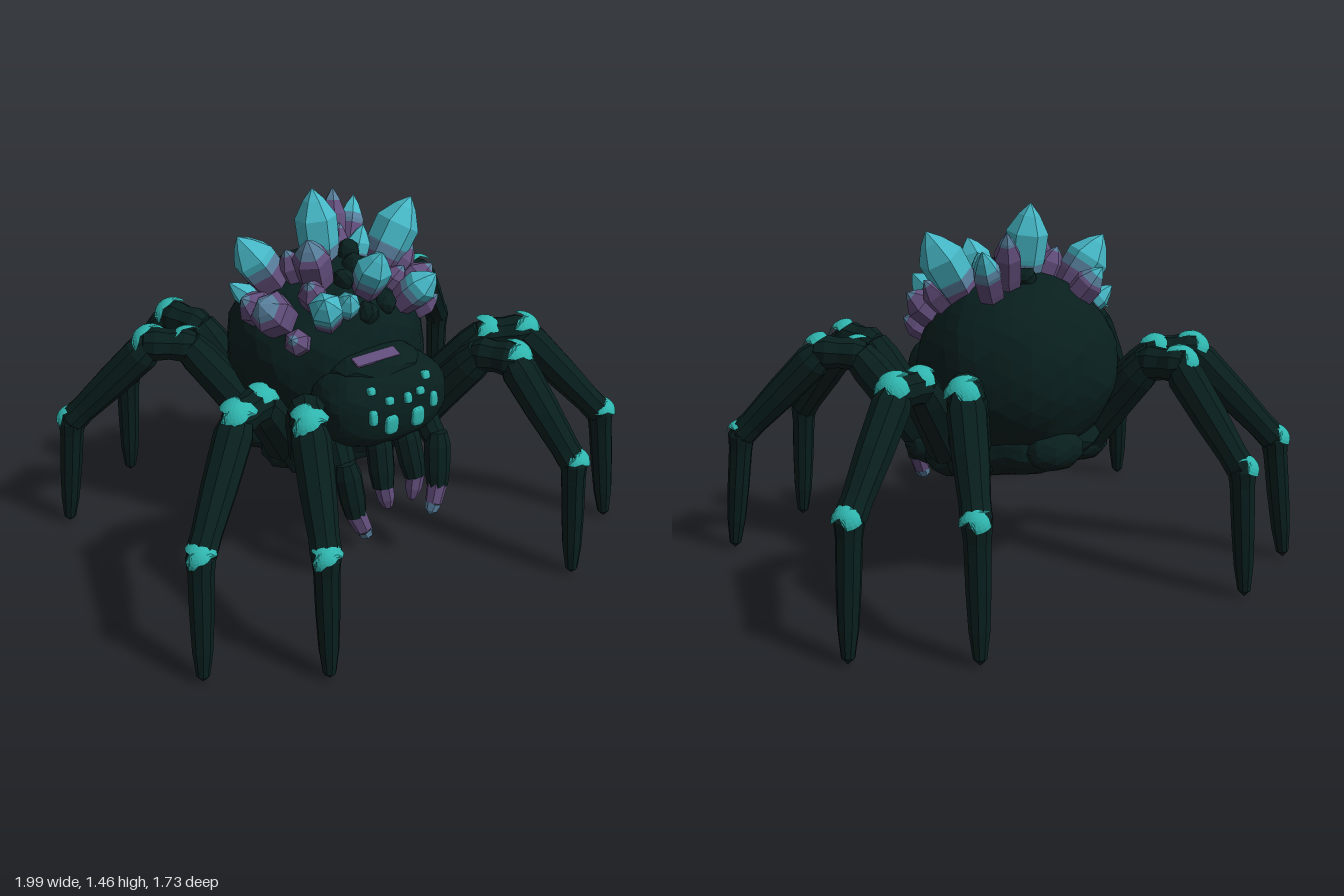
import * as THREE from 'three';

const mat = (name, color) => {
  const m = new THREE.MeshStandardMaterial({ color });
  m.name = name;
  return m;
};
const V = (a) => new THREE.Vector3(...a);
const UP = new THREE.Vector3(0, 1, 0);

export function createModel() {
  const shell = mat('dark shell', 0x081f1e);
  const teal = mat('teal glow', 0x2fb5ae);
  const cyan = mat('cyan crystal', 0x46b7c6);
  const blue = mat('blue crystal', 0x587f9c);
  const purple = mat('purple crystal', 0x614d7a);

  const model = new THREE.Group();
  model.name = 'crystalSpider';

  const add = (parent, name, geo, material) => {
    const g = geo.index ? geo.toNonIndexed() : geo;
    g.computeVertexNormals();
    const mesh = new THREE.Mesh(g, material);
    mesh.name = name;
    parent.add(mesh);
    return mesh;
  };

  // Lumpy ellipsoid; power below 1 makes it boxier
  const blob = (name, c, r, power = 1, lump = 0.02, detail = 5, material = shell, parent = model) => {
    const g = new THREE.IcosahedronGeometry(1, detail);
    const p = g.attributes.position;
    const sq = (v) => Math.sign(v) * Math.abs(v) ** power;
    for (let i = 0; i < p.count; i++) {
      const x = p.getX(i), y = p.getY(i), z = p.getZ(i);
      const k = 1 + lump * (Math.sin(7 * x + 3 * y) * Math.sin(6 * z - 4 * y) + 0.5 * Math.sin(13 * y + 9 * z + 5 * x));
      p.setXYZ(i, sq(x) * r[0] * k, sq(y) * r[1] * k, sq(z) * r[2] * k);
    }
    const m = add(parent, name, g, material);
    m.position.set(...c);
    return m;
  };

  // Lathed piece from a to b; profile entries are [position along 0..1, radius]
  const limb = (parent, name, a, b, profile, sides, material, spin = 0) => {
    const d = V(b).sub(V(a)), len = d.length();
    const g = new THREE.LatheGeometry(profile.map(([t, r]) => new THREE.Vector2(r, t * len)), sides);
    g.rotateY(spin);
    const m = add(parent, name, g, material);
    m.position.set(...a);
    m.quaternion.setFromUnitVectors(UP, d.normalize());
  };

  // Body
  blob('abdomen', [0, 0.82, -0.09], [0.4, 0.375, 0.38], 1, 0.018);
  blob('thorax', [0, 0.56, -0.02], [0.35, 0.175, 0.36], 0.95, 0.04);
  const head = { c: [0, 0.73, 0.29], r: [0.275, 0.17, 0.175], p: 0.8 };
  blob('head', head.c, head.r, head.p, 0.012);
  blob('brow', [0, 0.855, 0.24], [0.19, 0.08, 0.165], 0.9, 0.03, 3);
  blob('spinneret', [0, 0.55, -0.37], [0.12, 0.08, 0.09], 1, 0.05, 2);

  // Eyes: x, y, half width, half height, set on the front of the head
  const eyes = [
    [-0.135, 0.75, 0.017, 0.032], [-0.06, 0.705, 0.029, 0.04], [0.06, 0.705, 0.029, 0.04], [0.14, 0.75, 0.017, 0.032],
    [-0.125, 0.845, 0.016, 0.016], [-0.065, 0.803, 0.018, 0.016], [0.015, 0.795, 0.016, 0.022],
    [0.075, 0.805, 0.018, 0.016], [0.12, 0.845, 0.018, 0.018]];
  const e = 2 / head.p;
  for (const [x, y, w, h] of eyes) {
    const u = Math.abs(x / head.r[0]) ** e + Math.abs((y - head.c[1]) / head.r[1]) ** e;
    const z = head.c[2] + head.r[2] * (1 - u) ** (1 / e);
    const eye = blob('eye', [x, y, z], [w, h, 0.016], 0.6, 0, 2, teal);
    eye.rotation.x = -(y - 0.72) * 3;
  }
  const streak = add(model, 'headStreak', new THREE.BoxGeometry(0.19, 0.009, 0.05), purple);
  streak.position.set(-0.04, 0.924, 0.325);
  streak.rotation.x = 0.3;

  // Legs: hip, start and end of the short top segment, knee, foot
  const legPaths = [
    { hip: [0.25, 0.5, 0.17], a: [0.4, 0.85, 0.41], b: [0.46, 0.86, 0.525], knee: [0.565, 0.5, 0.8], foot: [0.575, 0, 0.835] },
    { hip: [0.29, 0.5, 0.09], a: [0.52, 0.85, 0.28], b: [0.645, 0.86, 0.35], knee: [0.925, 0.5, 0.56], foot: [0.965, 0, 0.605] }];
  const femur = [[-0.03, 0], [-0.02, 0.07], [0.1, 0.088], [0.5, 0.08], [0.85, 0.076], [1, 0.064], [1.06, 0]];
  const joint = [[-0.3, 0], [-0.22, 0.05], [0.1, 0.07], [0.5, 0.062], [0.9, 0.07], [1.2, 0.055], [1.3, 0]];
  const shin = [[-0.08, 0], [-0.05, 0.05], [0.12, 0.073], [0.5, 0.067], [0.85, 0.056], [0.97, 0.058], [1.06, 0.038], [1.08, 0]];
  const claw = [[-0.1, 0], [-0.06, 0.04], [0, 0.055], [0.12, 0.048], [0.45, 0.045], [0.75, 0.038], [0.95, 0.025], [1, 0]];

  // Ragged glowing cap over a joint
  const glow = (parent, at, dir, r, spread) => {
    const g = new THREE.SphereGeometry(r, 18, 5, 0, Math.PI * 2, 0, spread);
    const p = g.attributes.position;
    for (let i = 0; i < p.count; i++) {
      const v = new THREE.Vector3().fromBufferAttribute(p, i);
      const az = Math.atan2(v.z, v.x);
      const t = Math.acos(Math.min(1, v.y / r)) * (0.8 + 0.25 * Math.sin(3 * az) + 0.15 * Math.sin(5 * az));
      p.setXYZ(i, r * Math.sin(t) * Math.cos(az), r * Math.cos(t), r * Math.sin(t) * Math.sin(az));
    }
    const m = add(parent, 'jointGlow', g, teal);
    m.position.set(...at);
    m.quaternion.setFromUnitVectors(UP, V(dir).normalize());
  };

  for (const sx of [1, -1]) for (const sz of [1, -1]) legPaths.forEach((path, row) => {
    const q = {};
    for (const k in path) q[k] = [path[k][0] * sx, path[k][1], path[k][2] * sz];
    const leg = new THREE.Group();
    leg.name = (sx > 0 ? 'left' : 'right') + (sz > 0 ? 'Front' : 'Back') + 'Leg';
    model.add(leg);
    blob('hip', q.hip, [0.11, 0.085, 0.1], 1, 0.05, 2, shell, leg);
    limb(leg, 'upperLeg', q.hip, q.a, femur, 9, shell);
    limb(leg, 'topSegment', q.a, q.b, joint, 9, shell);
    limb(leg, 'middleLeg', q.b, q.knee, shin, 9, shell);
    limb(leg, 'lowerLeg', q.knee, q.foot, claw, 9, shell);
    // Only the side legs glow at the inner joint
    if (row === 1) glow(leg, q.a, [0, 1, 0.5 * sz], 0.079, 0.95);
    glow(leg, q.b, [0.5 * sx, 1, 0.5 * sz], 0.08, 1.15);
    glow(leg, q.knee, [0.4 * sx, 0.9, 0.5 * sz], 0.064, 1.25);
  });

  // Jaws and feelers with crystal tips
  const stub = [[-0.1, 0], [-0.05, 0.04], [0.2, 0.054], [0.7, 0.051], [1, 0.042], [1.06, 0]];
  for (const s of [1, -1]) {
    limb(model, 'jaw', [0.06 * s, 0.62, 0.38], [0.075 * s, 0.42, 0.44], stub, 9, shell);
    limb(model, 'fang', [0.075 * s, 0.43, 0.44], [0.055 * s, 0.315, 0.45], [[0, 0.038], [0.5, 0.034], [0.85, 0.02], [1, 0]], 7, purple);
    limb(model, 'feelerBase', [0.2 * s, 0.62, 0.3], [0.215 * s, 0.5, 0.39], stub, 9, shell);
    limb(model, 'feeler', [0.215 * s, 0.54, 0.39], [0.195 * s, 0.33, 0.43], stub, 9, shell);
    limb(model, 'feelerTip', [0.195 * s, 0.34, 0.43], [0.168 * s, 0.265, 0.445], [[0, 0.042], [1, 0.035]], 7, purple);
    limb(model, 'feelerPoint', [0.168 * s, 0.265, 0.445], [0.145 * s, 0.215, 0.45], [[0, 0.035], [0.6, 0.026], [1, 0]], 7, blue);
  }

  // Crystals radiate from a point inside the abdomen: tip x, y, z, radius, purple share
  const root = V([0, 0.76, -0.03]);
  const crystals = [
    [-0.045, 1.46, -0.11, 0.082, 0.28], [0.365, 1.37, -0.03, 0.09, 0.35], [-0.36, 1.32, -0.14, 0.085, 0.5],
    [-0.39, 1.13, 0.07, 0.085, 0.8], [-0.18, 1.34, 0.07, 0.075, 0.78], [0.055, 1.29, 0.22, 0.07, 0.4],
    [-0.1, 1.16, 0.24, 0.048, 0.4], [-0.225, 1.18, 0.26, 0.066, 0.42], [0.29, 1.16, 0.25, 0.066, 0.45],
    [0.145, 1.38, -0.26, 0.056, 0.85], [0.26, 1.32, -0.28, 0.057, 0.65], [-0.26, 1.22, -0.29, 0.06, 0.75],
    [0.1, 1.28, -0.14, 0.045, 0.9], [0.165, 1.28, -0.07, 0.05, 0.4], [0.39, 1.12, 0.09, 0.066, 0.9],
    [-0.4, 1.11, -0.05, 0.07, 0.9], [0.38, 1.01, 0.15, 0.05, 0.9], [0.085, 1.23, 0.1, 0.04, 0.4],
    [-0.32, 1.01, 0.18, 0.052, 0.9], [0.23, 1.16, 0.12, 0.052, 0.9], [-0.22, 1.2, 0.14, 0.055, 0.9],
    [-0.38, 1.12, -0.18, 0.045, 0.45], [0.36, 1.18, 0, 0.055, 0.9], [-0.21, 1.27, -0.04, 0.055, 0.9]];
  const outline = [[0, 0.72], [0.45, 0.97], [0.7, 1], [0.88, 0.5], [1, 0]];
  const widthAt = (t) => {
    const k = Math.max(1, outline.findIndex((o) => o[0] >= t));
    const [t0, w0] = outline[k - 1], [t1, w1] = outline[k];
    return w0 + (w1 - w0) * (t - t0) / (t1 - t0);
  };
  crystals.forEach(([x, y, z, r, cut], i) => {
    const tip = [x, y, z];
    const reach = V(tip).distanceTo(root);
    // Each base sits just under the abdomen surface
    const base = root.clone().lerp(V(tip), Math.min(0.32 / reach, 0.62)).toArray();
    const slice = (t0, t1) => [t0, ...outline.map((o) => o[0]).filter((t) => t > t0 && t < t1), t1].map((t) => [t, r * widthAt(t)]);
    const crystal = new THREE.Group();
    crystal.name = 'crystal';
    model.add(crystal);
    const mid = Math.min(cut + 0.12, 0.96);
    limb(crystal, 'crystalBase', base, tip, slice(0, cut), 6, purple, i);
    limb(crystal, 'crystalMiddle', base, tip, slice(cut, mid), 6, blue, i);
    limb(crystal, 'crystalTip', base, tip, slice(mid, 1), 6, cut > 0.75 ? blue : cyan, i);
  });

  // Dark rocks between the crystals
  const rocks = [[0.05, 1.16, 0.03], [-0.03, 1.14, 0.08], [0.1, 1.06, 0.17], [0.15, 1.13, 0.06],
    [-0.12, 1.08, 0.14], [0.02, 1.18, -0.17], [0.07, 1.19, -0.03], [0, 1.04, 0.2]];
  rocks.forEach((c, i) => {
    blob('rock', c, [0.045, 0.06, 0.045], 1, 0.1, 1).rotation.set(i, i * 2, 0);
  });

  return model;
}
